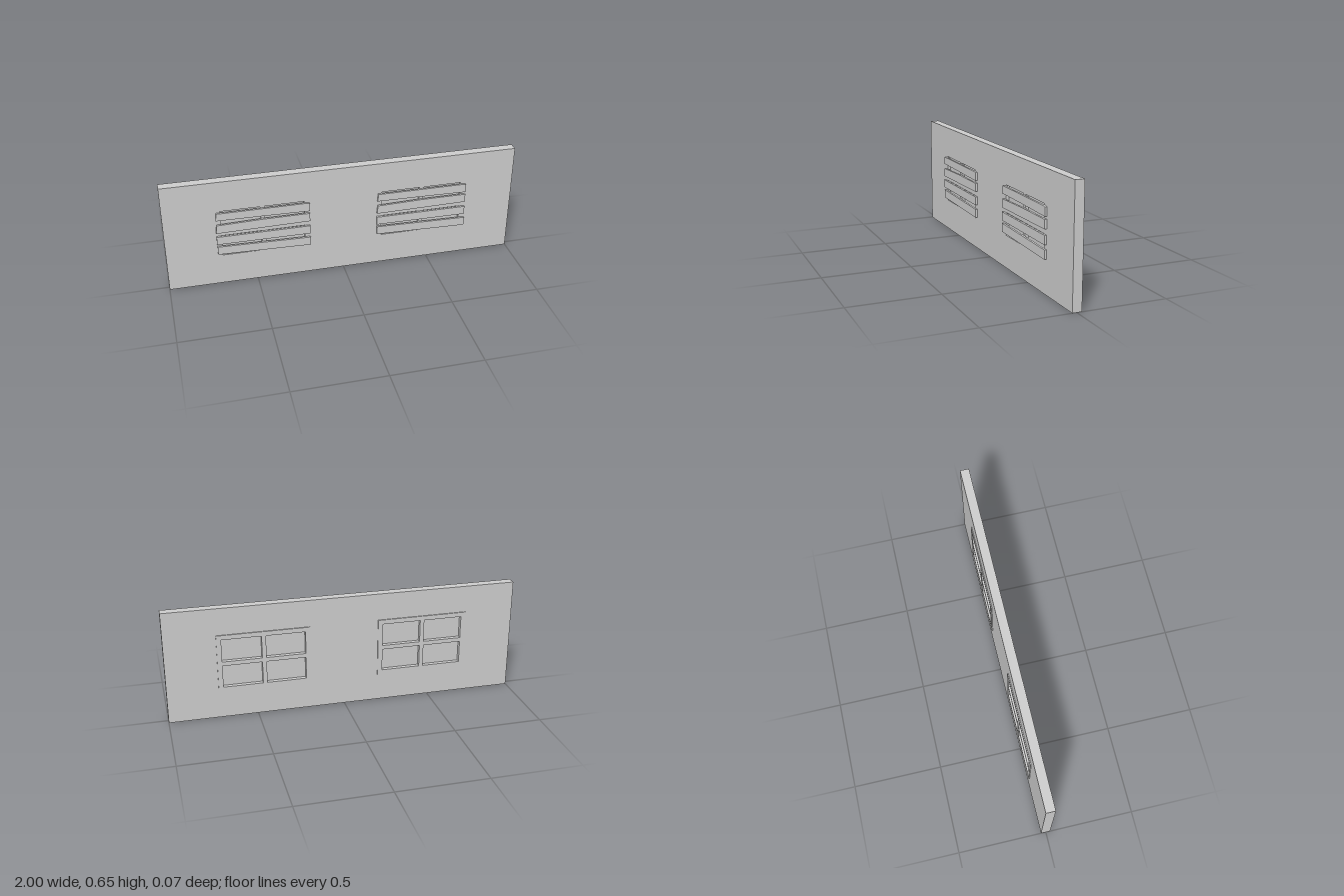
import * as THREE from 'three';

const material = new THREE.MeshStandardMaterial({ color: 0xcccccc, flatShading: true });

// Closed outline from corner points
function outline(points, Type = THREE.Shape) {
  return new Type(points.map(([x, y]) => new THREE.Vector2(x, y)));
}

function rect(x0, y0, x1, y1, Type) {
  return outline([[x0, y0], [x1, y0], [x1, y1], [x0, y1]], Type);
}

// Flat panel with the given outline between two depths
function panel(name, shape, z0, z1) {
  const geometry = new THREE.ExtrudeGeometry(shape, { depth: z1 - z0, bevelEnabled: false });
  geometry.translate(0, 0, z0);
  const mesh = new THREE.Mesh(geometry, material);
  mesh.name = name;
  return mesh;
}

const BACK = -0.028, FRONT = 0.024;
const WINDOW = { x: 0.455, x0: -0.26, x1: 0.26, y0: 0.157, y1: 0.493 };

// Slightly crooked boards: lower left, lower right, upper right, upper left
const BOARDS = [
  [[-0.26, 0.416], [0.0, 0.413], [0.262, 0.408], [0.262, 0.457], [0.24, 0.46], [-0.255, 0.46]],
  [[-0.262, 0.336], [0.262, 0.343], [0.262, 0.393], [0.0, 0.393], [-0.257, 0.386]],
  [[-0.262, 0.264], [0.262, 0.262], [0.262, 0.312], [-0.262, 0.312]],
  [[-0.26, 0.199], [0.264, 0.187], [0.264, 0.237], [-0.26, 0.248]],
];

function createWindow() {
  const { x0, x1, y0, y1 } = WINDOW;
  const group = new THREE.Group();

  // Frame with four lights, standing proud of the back of the wall
  const frame = rect(x0, y0, x1, y1);
  for (const [a, b] of [[-0.233, -0.012], [0.012, 0.233]]) {
    for (const [c, d] of [[0.185, 0.313], [0.337, 0.467]]) {
      frame.holes.push(rect(a, c, b, d, THREE.Path));
    }
  }
  group.add(panel('windowFrame', frame, -0.034, FRONT));

  // Pane set in the middle of the frame
  group.add(panel('windowPane', rect(-0.235, 0.183, 0.235, 0.469), -0.01, 0.006));

  // Boards nailed over the front
  BOARDS.forEach((points, i) => {
    group.add(panel('board' + (i + 1), outline(points), FRONT, 0.036));
  });
  return group;
}

export function createModel() {
  const model = new THREE.Group();
  model.name = 'boardedWall';

  // Wall with two window openings
  const wall = rect(-1, 0, 1, 0.648);
  for (const side of [-1, 1]) {
    const cx = side * WINDOW.x;
    wall.holes.push(rect(cx + WINDOW.x0, WINDOW.y0, cx + WINDOW.x1, WINDOW.y1, THREE.Path));
    const win = createWindow();
    win.name = side > 0 ? 'leftWindow' : 'rightWindow';
    win.position.x = cx;
    model.add(win);
  }
  model.add(panel('wall', wall, BACK, FRONT));
  return model;
}
